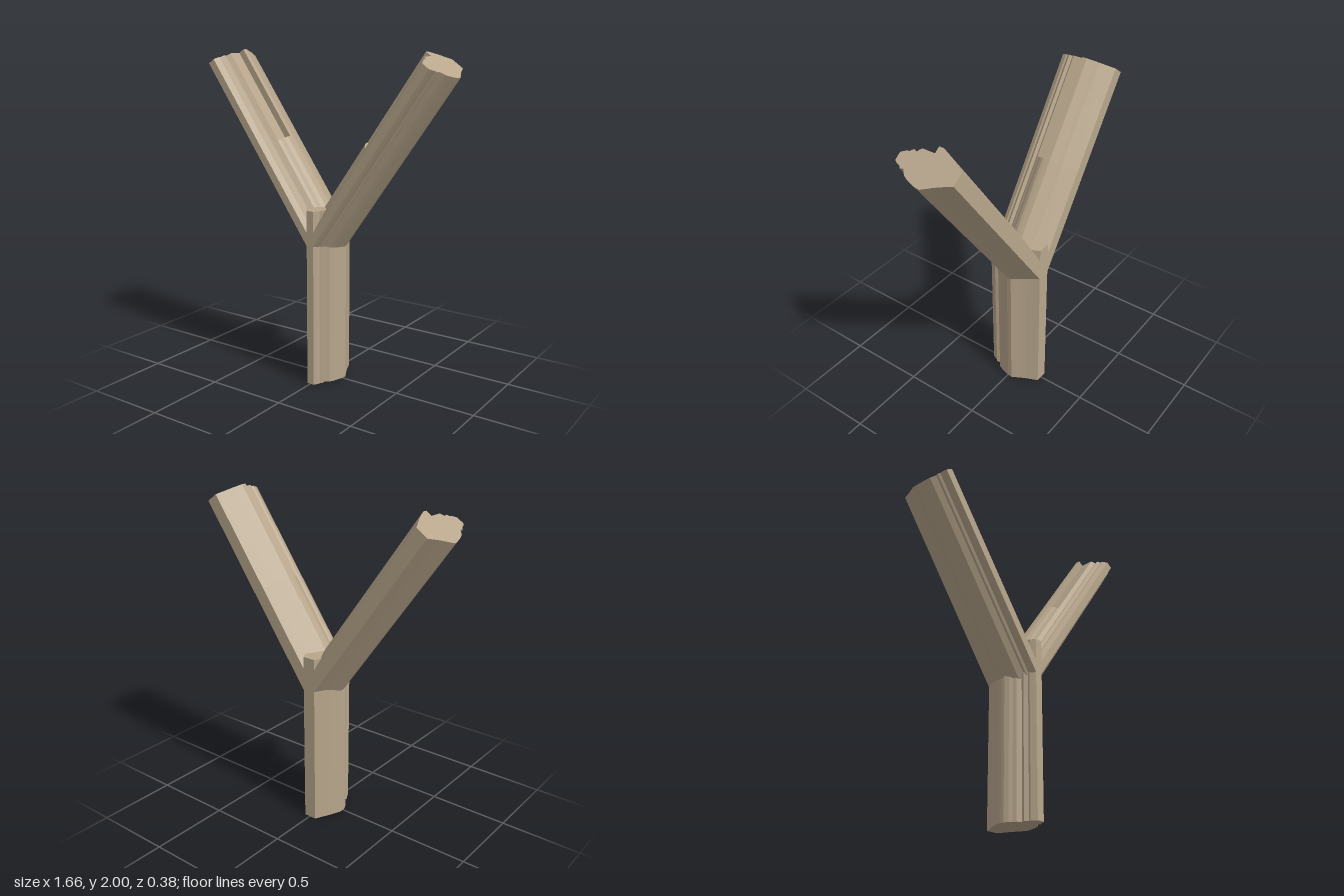
import * as THREE from 'three';

// Knobbly wood cross-section as [u, z]; outer side is +u, inner side is -u
const outer = [
  [0.025, 0.185], [0.037, 0.165], [0.043, 0.145], [0.056, 0.135], [0.05, 0.115],
  [0.08, 0.09], [0.095, 0.06], [0.113, 0.0], [0.115, -0.03], [0.085, -0.085], [0.067, -0.12], [0.037, -0.19],
];
const innerBack = [[-0.043, -0.19], [-0.09, -0.1], [-0.098, -0.08], [-0.12, -0.03], [-0.12, 0]];
const innerBark = [[-0.118, 0.02], [-0.105, 0.045], [-0.09, 0.062]];
const innerNotch = [[-0.08, 0.0]];
const innerFront = [[-0.08, 0.08], [-0.055, 0.1], [-0.061, 0.12], [-0.043, 0.14], [-0.043, 0.152], [-0.022, 0.185]];

const fullSection = [...outer, ...innerBack, ...innerBark, ...innerFront];
const notchedSection = [...outer, ...innerBack, ...innerNotch, ...innerFront];

// Prism standing on y = from and reaching y = to, with its section optionally mirrored
function prism(section, from, to, side = 1) {
  const shape = new THREE.Shape(section.map(([u, z]) => new THREE.Vector2(u * side, -z)));
  const geometry = new THREE.ExtrudeGeometry(shape, { depth: to - from, bevelEnabled: false });
  geometry.rotateX(-Math.PI / 2);
  geometry.translate(0, from, 0);
  return geometry;
}

export function createModel() {
  const model = new THREE.Group();
  model.name = 'forkedLog';
  const wood = new THREE.MeshStandardMaterial({ color: 0xb8a68c, flatShading: true });
  wood.name = 'wood';

  const add = (parent, name, geometry) => {
    const mesh = new THREE.Mesh(geometry, wood);
    mesh.name = name;
    parent.add(mesh);
  };

  // Upright trunk, its top showing between the branches
  add(model, 'trunk', prism(fullSection, 0, 1.085));

  // Two mirrored branches, each with a long notch along the inner side
  for (const side of [1, -1]) {
    const branch = new THREE.Group();
    branch.name = side > 0 ? 'leftBranch' : 'rightBranch';
    add(branch, 'branchBase', prism(fullSection, 0, 0.655, side));
    add(branch, 'branchNotchedEnd', prism(notchedSection, 0.655, 1.281, side));
    branch.position.y = 0.883;
    branch.rotation.z = -side * THREE.MathUtils.degToRad(35);
    model.add(branch);
  }
  return model;
}
